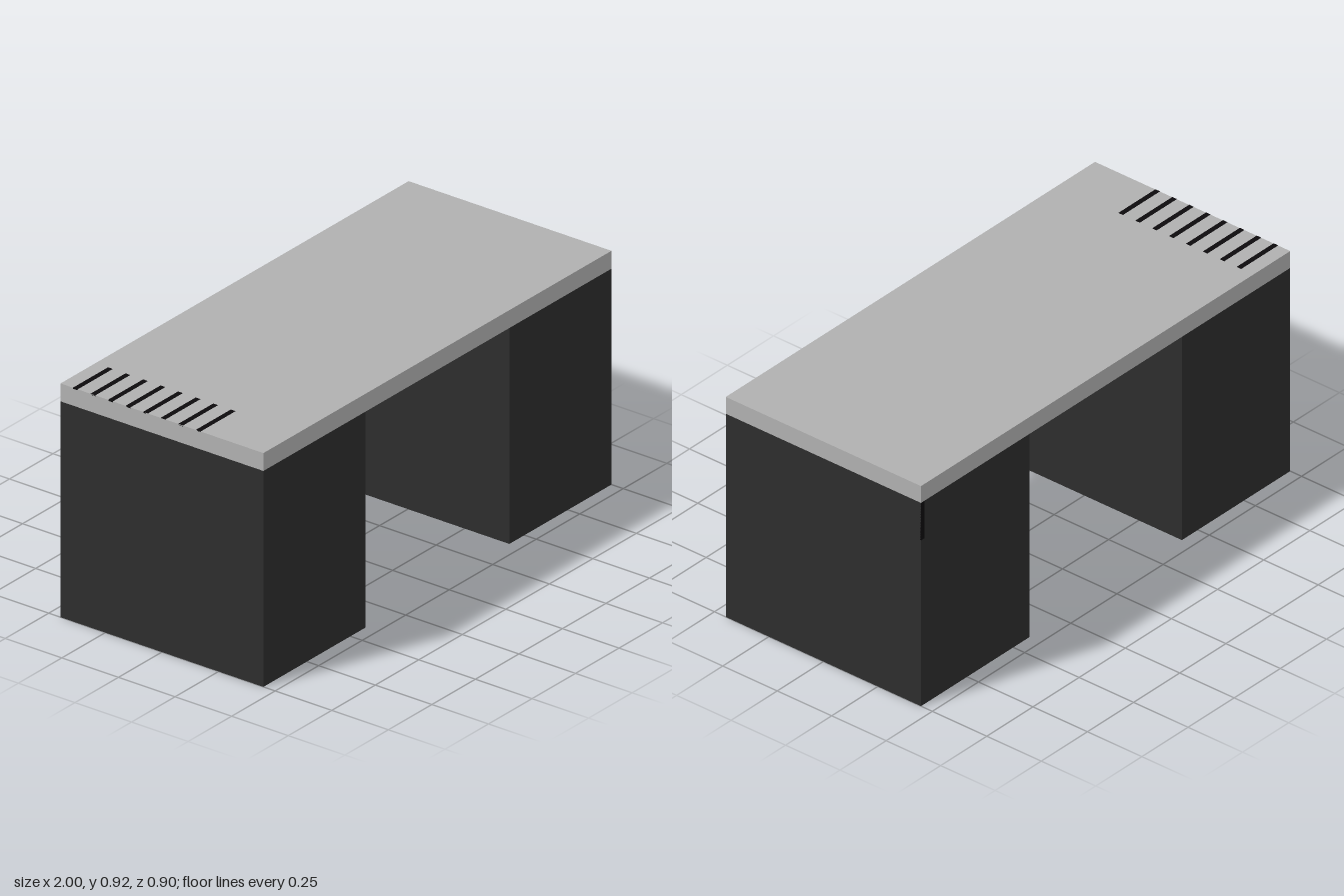
import * as THREE from 'three';

export function createModel() {
  const model = new THREE.Group();
  const mat = (name, color) => {
    const m = new THREE.MeshStandardMaterial({ color });
    m.name = name;
    return m;
  };
  const grey = mat('light grey', 0xb0b0b0);
  const dark = mat('charcoal', 0x2d2d2d);
  const black = mat('black', 0x0c0a0c);

  // Adds a box given by its minimum and maximum corners
  const box = (name, material, [x0, y0, z0], [x1, y1, z1]) => {
    const mesh = new THREE.Mesh(new THREE.BoxGeometry(x1 - x0, y1 - y0, z1 - z0), material);
    mesh.position.set((x0 + x1) / 2, (y0 + y1) / 2, (z0 + z1) / 2);
    mesh.name = name;
    model.add(mesh);
  };

  const depth = 0.448, shelf = 0.845, top = 0.915;

  // Desktop slab with a dark underside
  box('desktop', [grey, grey, grey, dark, grey, grey], [-1, shelf, -depth], [1, top, depth]);

  // Cabinet pedestals
  box('leftPedestal', dark, [0.413, 0, -depth], [1, shelf, depth]);
  box('rightPedestal', dark, [-1, 0, -depth], [-0.413, shelf, depth]);

  // Row of vent slots along the right end of the desktop
  for (let i = 0; i < 8; i++) {
    const z = -0.382 + i * 0.0775;
    box('ventSlot', black, [-1, top - 0.004, z - 0.01], [-0.8, top + 0.001, z + 0.01]);
  }

  // Small strip at the rear outer corner of the left pedestal
  box('rearStrip', black, [0.982, 0.69, -depth - 0.001], [1, shelf, -depth + 0.004]);

  return model;
}
